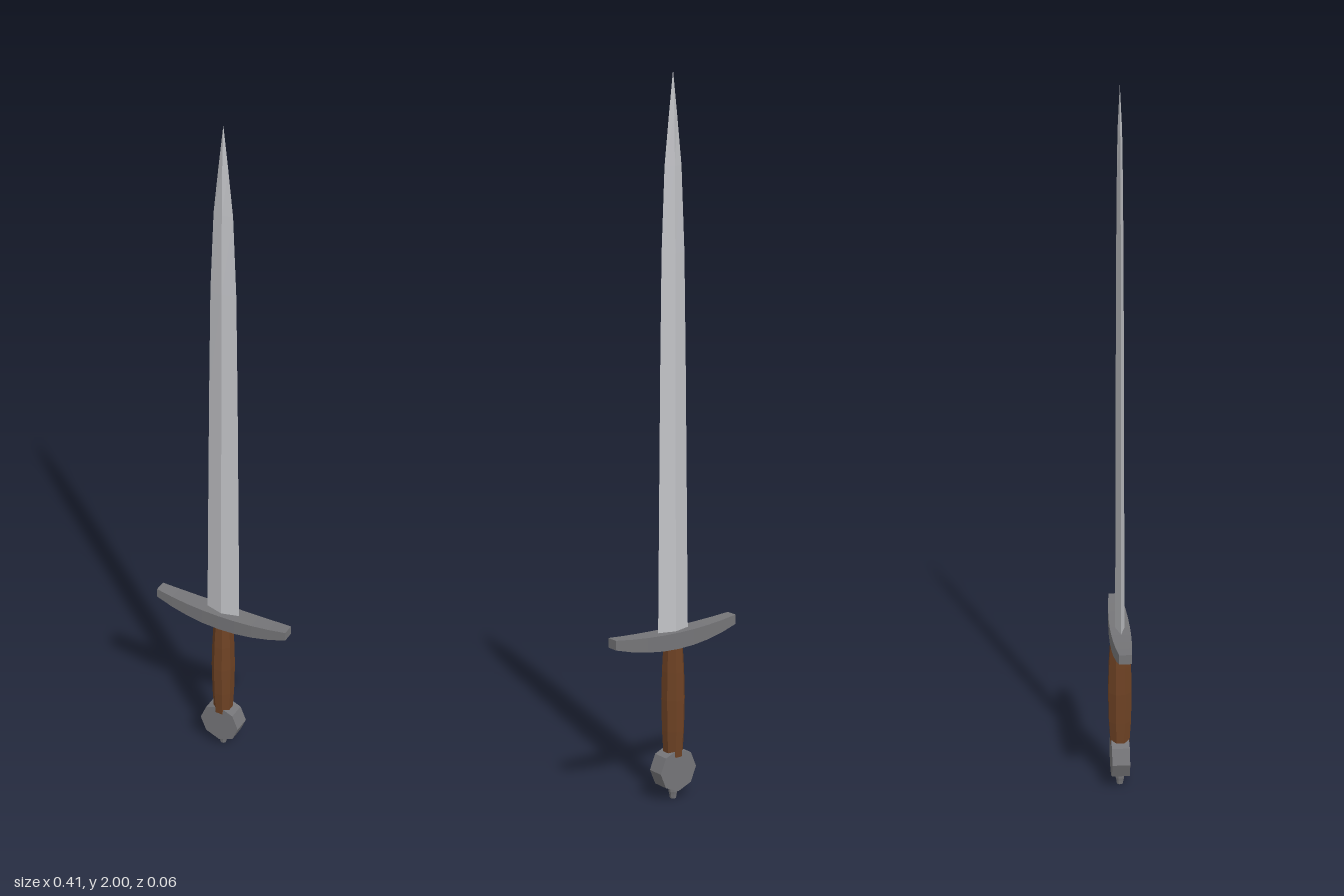
import * as THREE from 'three';

const mat = (name, color) => {
  const m = new THREE.MeshStandardMaterial({ color, flatShading: true });
  m.name = name;
  return m;
};

// Stacked polygon sections: each row is [y, half width in x, half depth in z]
function sections(sides, rows, turn = 0) {
  const n = rows.length - 1;
  const geo = new THREE.CylinderGeometry(1, 1, 1, sides, n);
  geo.rotateY(turn);
  const p = geo.attributes.position;
  for (let i = 0; i < p.count; i++) {
    const [y, rx, rz] = rows[Math.round((p.getY(i) + 0.5) * n)];
    p.setXYZ(i, p.getX(i) * rx, y, p.getZ(i) * rz);
  }
  geo.computeVertexNormals();
  return geo;
}

export function createModel() {
  const group = new THREE.Group();
  const blade = mat('bladeSteel', 0xc2c3c7);
  const iron = mat('darkIron', 0x757578);
  const wood = mat('brownGrip', 0x6e4224);

  const add = (name, geo, material) => {
    const mesh = new THREE.Mesh(geo, material);
    mesh.name = name;
    group.add(mesh);
    return mesh;
  };

  // Diamond-section blade tapering to the point
  add('blade', sections(4, [
    [0.47, 0.051, 0.013], [0.85, 0.047, 0.012], [1.2, 0.043, 0.011],
    [1.52, 0.038, 0.01], [1.75, 0.028, 0.008], [1.88, 0.014, 0.006], [2, 0, 0],
  ]), blade);

  // Crossguard: a bar with upswept, narrowing ends
  const guard = new THREE.BoxGeometry(0.41, 2, 2, 8, 1, 1);
  const p = guard.attributes.position;
  for (let i = 0; i < p.count; i++) {
    const t = (p.getX(i) / 0.205) ** 2;
    const y = p.getY(i) > 0 ? 0.483 + 0.012 * t : 0.437 + 0.031 * t;
    p.setXYZ(i, p.getX(i), y, p.getZ(i) * (0.028 - 0.011 * t));
  }
  guard.computeVertexNormals();
  add('crossguard', guard, iron);

  // Eight-sided grip with a gentle swell
  add('grip', sections(8, [
    [0.125, 0.027, 0.028], [0.2, 0.031, 0.033], [0.29, 0.033, 0.035],
    [0.37, 0.031, 0.033], [0.445, 0.027, 0.028],
  ], Math.PI / 8), wood);

  // Octagonal disc pommel, flat sides to front and back
  const disc = new THREE.CylinderGeometry(0.061, 0.061, 0.05, 8);
  disc.rotateX(Math.PI / 2);
  add('pommel', disc, iron).position.y = 0.087;

  // Small peened button under the pommel
  add('pommelButton', sections(8, [
    [0, 0.009, 0.009], [0.012, 0.011, 0.011], [0.02, 0.013, 0.013], [0.04, 0.014, 0.014],
  ], Math.PI / 8), iron);

  return group;
}
